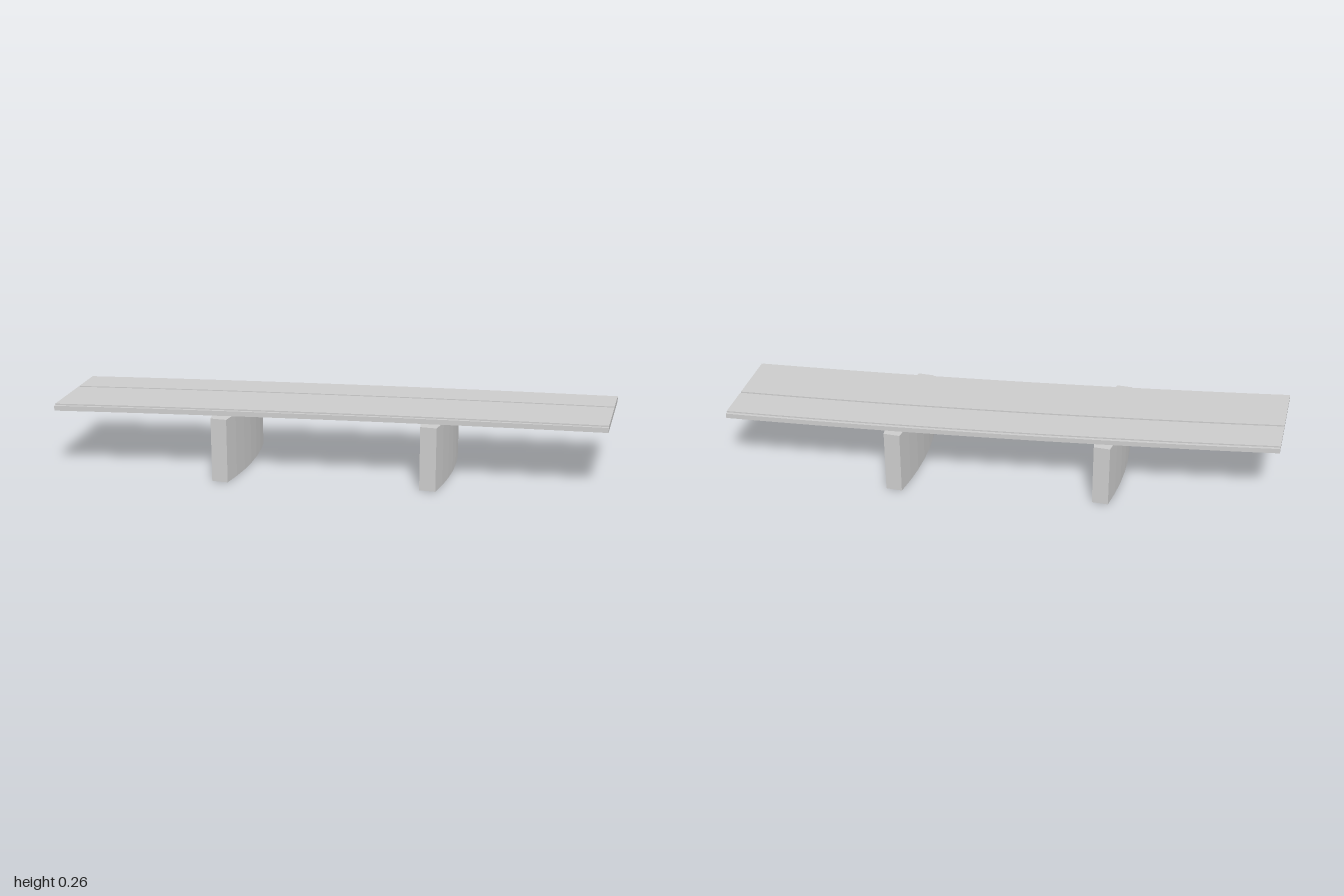
import * as THREE from 'three';

const material = new THREE.MeshStandardMaterial({ color: 0xcccccc, flatShading: true });

// Extrudes a plan outline of [x, z] points from height y0 up to y1.
function prism(name, plan, y0, y1) {
  const shape = new THREE.Shape(plan.map(([x, z]) => new THREE.Vector2(x, -z)));
  const geometry = new THREE.ExtrudeGeometry(shape, { depth: y1 - y0, bevelEnabled: false });
  geometry.rotateX(-Math.PI / 2).translate(0, y0, 0);
  const mesh = new THREE.Mesh(geometry, material);
  mesh.name = name;
  return mesh;
}

// Point on the gently curved, skew-ended deck: t runs along it, offset across it.
function deckPoint(t, offset) {
  const x = 0.977 * t - 0.129 * offset;
  return [x, -0.0095 + 0.0195 * x * x + offset];
}

// Plan of a band of the deck between two offsets from its centre line.
function deckBand(back, front, segments = 12) {
  const plan = [];
  for (let i = 0; i <= segments; i++) plan.push(deckPoint(-1 + (2 * i) / segments, front));
  for (let i = segments; i >= 0; i--) plan.push(deckPoint(-1 + (2 * i) / segments, back));
  return plan;
}

// Plan of a slightly turned pier with blunt ends and bowed sides.
function pierPlan(cx, segments = 6) {
  const side = [];
  for (let i = 0; i <= segments; i++) {
    const s = -1 + (2 * i) / segments;
    side.push([0.0287 + 0.0287 * s + 0.02 * (1 - s * s), 0.004 - 0.208 * s]);
  }
  const opposite = side.map(([x, z]) => [-x, -z]);
  return [...side, ...opposite].map(([x, z]) => [cx + x, z]);
}

export function createModel() {
  const bridge = new THREE.Group();
  bridge.name = 'bridge';

  // Deck slab with two raised lanes, leaving a rim and a dividing groove
  bridge.add(prism('deckSlab', deckBand(-0.1775, 0.1775), 0.235, 0.253));
  bridge.add(prism('frontLane', deckBand(-0.034, 0.1675), 0.253, 0.258));
  bridge.add(prism('backLane', deckBand(-0.1675, -0.044), 0.253, 0.258));

  // Two piers under the deck
  bridge.add(prism('rightPier', pierPlan(-0.372), 0, 0.235));
  bridge.add(prism('leftPier', pierPlan(0.367), 0, 0.235));
  return bridge;
}
